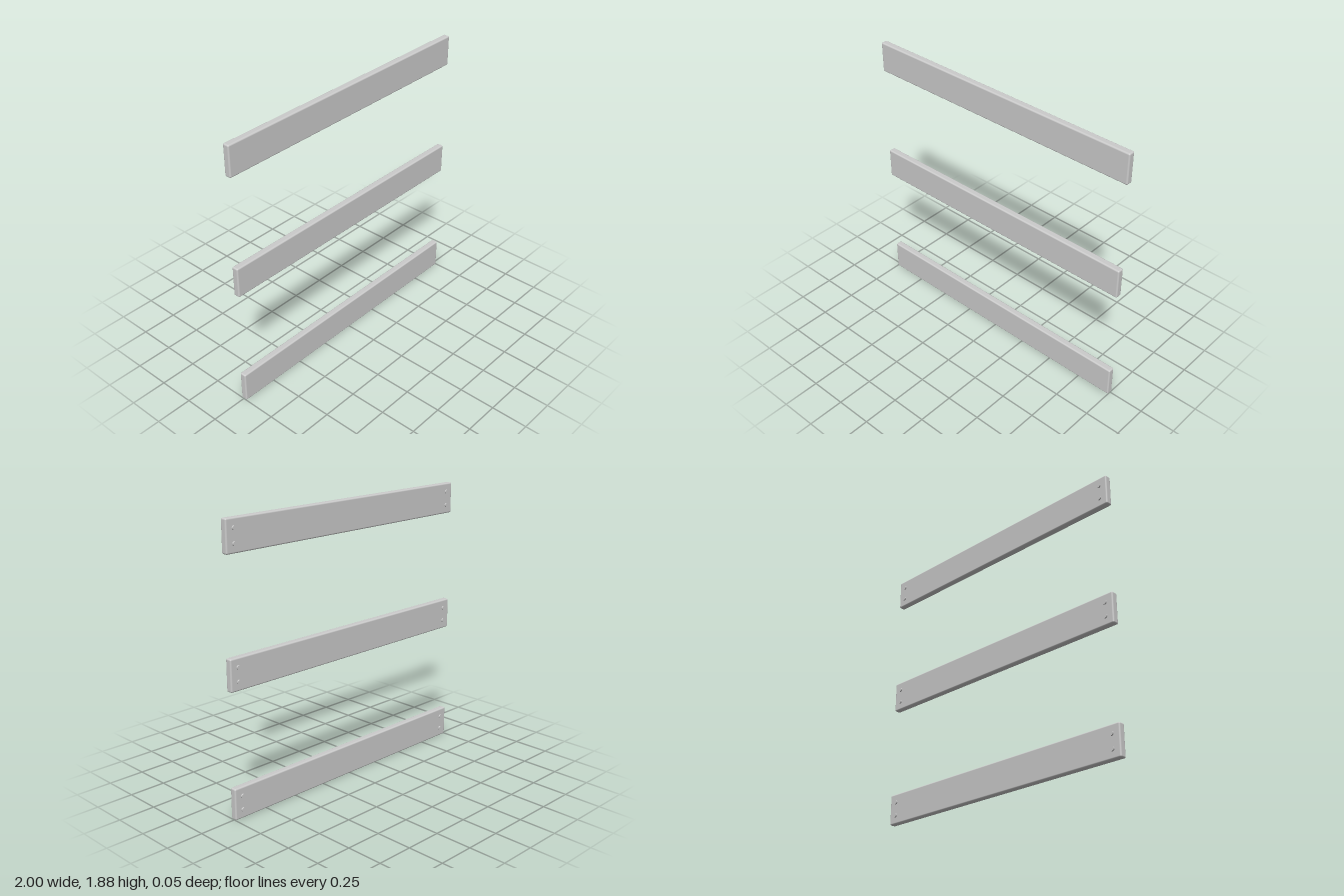
import * as THREE from 'three';
import { RoundedBoxGeometry } from 'three/addons/geometries/RoundedBoxGeometry.js';

const HEIGHT = 0.21, FRONT = 0.027, BACK = -0.019, STUD_END = -0.028;

export function createModel() {
  const model = new THREE.Group();
  const material = new THREE.MeshStandardMaterial({ color: 0xcccccc });

  // Plank with softened edges
  const plankGeometry = new RoundedBoxGeometry(2, HEIGHT, FRONT - BACK, 3, 0.01);

  // Short stud, sunk a little into the back of the plank
  const studLength = BACK - STUD_END + 0.005;
  const studGeometry = new THREE.CylinderGeometry(0.014, 0.014, studLength, 20);
  studGeometry.rotateX(Math.PI / 2);

  ['lower', 'middle', 'upper'].forEach((level, i) => {
    const slat = new THREE.Group();
    slat.name = `${level}Slat`;
    slat.position.y = HEIGHT / 2 + i * 0.835;

    const plank = new THREE.Mesh(plankGeometry, material);
    plank.name = `${level}Plank`;
    plank.position.z = (FRONT + BACK) / 2;
    slat.add(plank);

    // Two studs near each end
    for (const [side, x] of [['left', 0.942], ['right', -0.942]]) {
      for (const [row, y] of [['Top', 0.046], ['Bottom', -0.046]]) {
        const stud = new THREE.Mesh(studGeometry, material);
        stud.name = `${side}${row}Stud`;
        stud.position.set(x, y, STUD_END + studLength / 2);
        slat.add(stud);
      }
    }
    model.add(slat);
  });

  return model;
}
